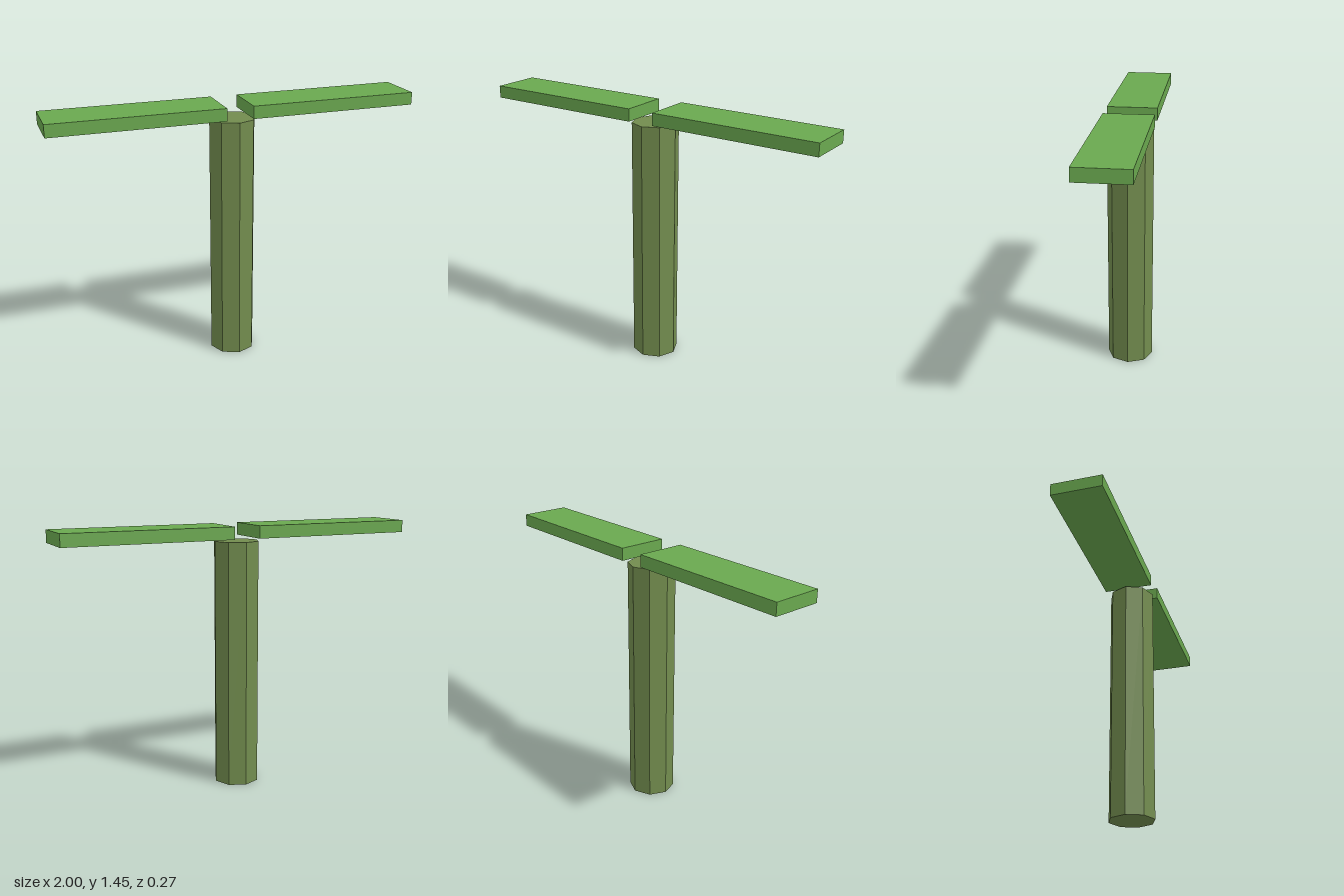
import * as THREE from 'three';

export function createModel() {
  const group = new THREE.Group();
  const stemGreen = new THREE.MeshStandardMaterial({ color: 0x728c4e, flatShading: true });
  stemGreen.name = 'olive stem';
  const leafGreen = new THREE.MeshStandardMaterial({ color: 0x6aa84f, flatShading: true });
  leafGreen.name = 'leaf green';

  // Eight-sided upright stem, corners on the x and z axes
  const stemHeight = 1.364;
  const stem = new THREE.Mesh(new THREE.CylinderGeometry(0.127, 0.127, stemHeight, 8), stemGreen);
  stem.name = 'stem';
  stem.position.y = stemHeight / 2;
  group.add(stem);

  // Two flat leaves floating just above the stem, mirrored left and right
  const inner = 0.073, outer = 1;
  const leafGeometry = new THREE.BoxGeometry(outer - inner, 0.068, 0.273);
  for (const [name, side] of [['leftLeaf', 1], ['rightLeaf', -1]]) {
    const leaf = new THREE.Mesh(leafGeometry, leafGreen);
    leaf.name = name;
    leaf.position.set(side * (inner + outer) / 2, 1.416, 0);
    group.add(leaf);
  }
  return group;
}
